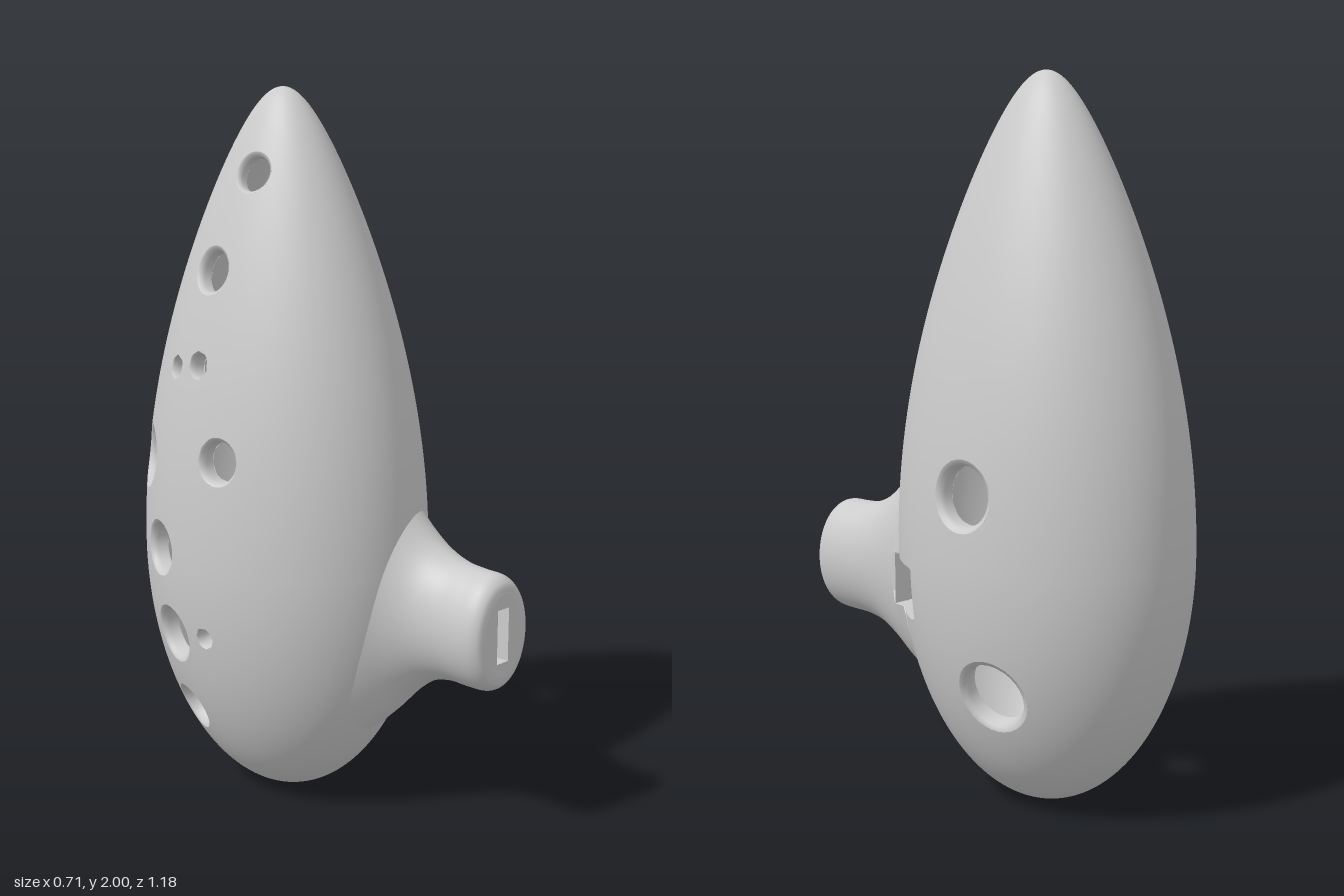
import * as THREE from 'three';

const RX = 0.353, RZ = 0.45, CZ = -0.145, CY = 0.72, WALL = 0.05;
const V = (x, y, z) => new THREE.Vector3(x, y, z);
const material = new THREE.MeshStandardMaterial({ color: 0xcccccc, roughness: 0.7, side: THREE.DoubleSide });

// Egg surface: th runs from bottom to top, b turns around the y axis, w is the inset
function eggPoint(th, b, w) {
  const c = -Math.cos(th), up = c > 0;
  const f = Math.sin(th) * (up ? 1 - 0.38 * c * c : 1);
  return V((RX - w) * f * Math.cos(b), CY + c * ((up ? 1.28 : 0.72) - w), CZ + (RZ - w) * f * Math.sin(b));
}

// Positive outside the egg, negative inside
function eggSide(p, w) {
  const t = (p.y - CY) / ((p.y > CY ? 1.28 : 0.72) - w);
  if (Math.abs(t) >= 1) return 1;
  const f = Math.sqrt(1 - t * t) * (t > 0 ? 1 - 0.38 * t * t : 1);
  return Math.hypot(p.x / (RX - w), (p.z - CZ) / (RZ - w)) - f;
}

// A hole has a centre, an axis n, two tangents and half sizes; rect selects its outline
function makeHole(c, n, a, b, rim, rect) {
  const v = V(0, 1, 0).addScaledVector(n, -n.y).normalize();
  return { c, n, u: v.clone().cross(n), v, a, b, rim, rect };
}

function roundHole(y, deg, r) {
  const b = THREE.MathUtils.degToRad(deg);
  const th = Math.acos(-(y - CY) / (y > CY ? 1.28 : 0.72));
  const c = eggPoint(th, b, 0), e = 0.002;
  const n = V(0, 0, 0);
  for (const k of ['x', 'y', 'z']) {
    const p = c.clone(), q = c.clone();
    p[k] += e;
    q[k] -= e;
    n[k] = eggSide(p, 0) - eggSide(q, 0);
  }
  return makeHole(c, n.normalize(), r, r, 1.22, false);
}

function holePoint(h, u, v, s) {
  return h.c.clone().addScaledVector(h.u, u).addScaledVector(h.v, v).addScaledVector(h.n, s);
}

// Drops a point at (u, v) along the hole axis onto the egg
function project(h, u, v, w) {
  let lo = -0.24, hi = 0.2;
  for (let i = 0; i < 30; i++) {
    const m = (lo + hi) / 2;
    if (eggSide(holePoint(h, u, v, m), w) > 0) hi = m; else lo = m;
  }
  return holePoint(h, u, v, lo);
}

// Grid closed around its columns; faces inside holes are left out and edges snapped to the outline
function surface(rows, cols, pointAt, holes, rimmed, inset) {
  const pos = [], inside = [], index = [];
  for (let i = 0; i <= rows; i++) {
    for (let j = 0; j < cols; j++) {
      let p = pointAt(i / rows, j / cols * Math.PI * 2), cut = false;
      for (const h of holes) {
        const d = p.clone().sub(h.c), s = d.dot(h.n);
        if (Math.abs(s) > 0.17) continue;
        const g = rimmed ? h.rim : 1, u = d.dot(h.u), v = d.dot(h.v);
        const x = Math.abs(u) / (h.a * g), y = Math.abs(v) / (h.b * g);
        const k = h.rect ? Math.max(x, y) : Math.hypot(x, y);
        if (k >= 1) continue;
        cut = true;
        const q = 1 / Math.max(k, 0.01);
        p = inset === null ? holePoint(h, u * q, v * q, s) : project(h, u * q, v * q, inset);
        break;
      }
      pos.push(p.x, p.y, p.z);
      inside.push(cut);
    }
  }
  const face = (a, b, c) => { if (!(inside[a] && inside[b] && inside[c])) index.push(a, b, c); };
  for (let i = 0; i < rows; i++) {
    for (let j = 0; j < cols; j++) {
      const k = (j + 1) % cols, a = i * cols + j, b = a + cols, c = i * cols + k, d = c + cols;
      face(a, b, c);
      face(b, d, c);
    }
  }
  return toGeometry(pos, index);
}

function toGeometry(pos, index) {
  const g = new THREE.BufferGeometry();
  g.setAttribute('position', new THREE.Float32BufferAttribute(pos, 3));
  g.setIndex(index);
  g.computeVertexNormals();
  return g;
}

// Strip of wall through a series of closed loops
function ribbon(loops, flat) {
  const n = loops[0].length;
  const at = (t, b) => loops[Math.round(t * (loops.length - 1))][Math.round(b / (Math.PI * 2) * n) % n];
  const g = surface(loops.length - 1, n, at, [], false, null);
  if (!flat) return g;
  const sharp = g.toNonIndexed();
  sharp.computeVertexNormals();
  return sharp;
}

export function createModel() {
  const model = new THREE.Group();
  const add = (name, geometry) => {
    const m = new THREE.Mesh(geometry, material);
    m.name = name;
    model.add(m);
  };

  // Finger holes: height, angle around the body, radius
  const fingerHoles = [
    [1.78, 170, 0.048], [1.52, 187, 0.056], [1.27, 184, 0.032], [1.25, 200, 0.028], [1.025, 169, 0.055],
    [0.97, 221, 0.076], [0.735, 202, 0.066], [0.49, 197, 0.07], [0.517, 176, 0.026], [0.255, 200, 0.06],
    [0.91, -3, 0.08], [0.37, -13, 0.088],
  ].map((s) => roundHole(...s));
  // Sound window beside the mouthpiece
  const windowHole = makeHole(V(0.25, 0.595, 0.15), V(1, 0, 0), 0.09, 0.076, 1, true);
  const holes = [...fingerHoles, windowHole];

  // Hollow body
  for (const [name, w] of [['bodyShell', 0], ['bodyInterior', WALL]]) {
    add(name, surface(144, 160, (t, b) => eggPoint(t * Math.PI, b, w), holes, w === 0, w));
  }

  // Softened rims and walls of the finger holes
  fingerHoles.forEach((h, i) => {
    const ring = (scale, w) => Array.from({ length: 32 }, (_, j) => {
      const t = j / 32 * Math.PI * 2;
      return project(h, h.a * scale * Math.cos(t), h.a * scale * Math.sin(t), w);
    });
    add('fingerHole' + (i + 1), ribbon([ring(h.rim, 0), ring(1.07, 0.007), ring(1, 0.022), ring(1, WALL)]));
  });

  // Window walls, with the rear one sloping inward
  const outer = [], inner = [];
  const corners = [[-1, -1], [1, -1], [1, 1], [-1, 1]];
  corners.forEach(([x, y], i) => {
    const next = corners[(i + 1) % 4];
    for (let k = 0; k < 10; k++) {
      const u = THREE.MathUtils.lerp(x, next[0], k / 10) * windowHole.a;
      const v = THREE.MathUtils.lerp(y, next[1], k / 10) * windowHole.b;
      const p = project(windowHole, u, v, 0);
      p.x = Math.max(p.x, 0.205);
      outer.push(p);
      inner.push(project(windowHole, u > 0 ? u * 0.4 : u, v, WALL));
    }
  });
  add('windowWalls', ribbon([outer, inner], true));

  // Mouthpiece sections: z, then the extents in -x, +x, top and bottom
  const sections = [
    [0.59, 0.02, 0.17, 0.71, 0.48], [0.583, -0.003, 0.195, 0.738, 0.452], [0.555, -0.018, 0.209, 0.757, 0.434],
    [0.5, -0.021, 0.211, 0.76, 0.431], [0.43, -0.021, 0.211, 0.768, 0.43], [0.36, -0.038, 0.212, 0.8, 0.412],
    [0.3, -0.078, 0.213, 0.858, 0.365], [0.25, -0.135, 0.215, 0.93, 0.305], [0.2, -0.2, 0.218, 1.02, 0.25],
  ];
  const curves = [1, 2, 3, 4].map((k) => new THREE.SplineCurve(sections.map((s) => new THREE.Vector2(s[0], s[k]))));
  add('mouthpiece', surface(56, 64, (t, b) => {
    const [l, r, top, bottom] = curves.map((c) => c.getPoint(t).y);
    return V((l + r) / 2 + (r - l) / 2 * Math.cos(b), (top + bottom) / 2 + (top - bottom) / 2 * Math.sin(b),
      curves[0].getPoint(t).x);
  }, [windowHole], false, null));

  // Mouthpiece end with the blowing slot
  const slot = [[0.07, 0.52], [0.115, 0.52], [0.115, 0.67], [0.07, 0.67]];
  const end = new THREE.Shape().absellipse(0.095, 0.595, 0.075, 0.115, 0, Math.PI * 2);
  end.holes.push(new THREE.Path(slot.map(([x, y]) => new THREE.Vector2(x, y))));
  add('mouthpieceEnd', new THREE.ShapeGeometry(end, 32).translate(0, 0, 0.59));
  add('blowingSlot', ribbon([0.59, 0.25].map((z) => slot.map(([x, y]) => V(x, y, z))), true));

  return model;
}
